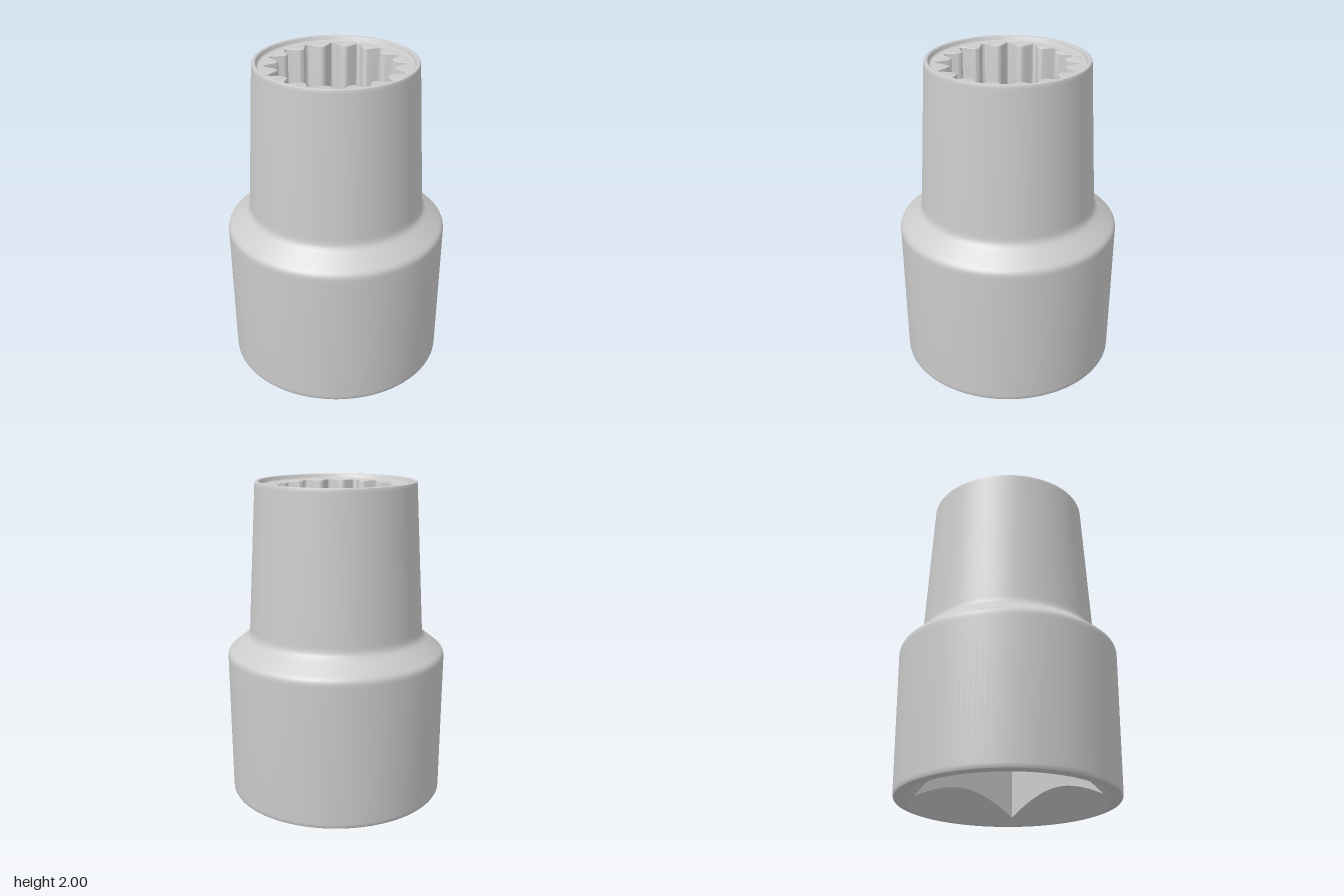
import * as THREE from 'three';
import { toCreasedNormals } from 'three/addons/utils/BufferGeometryUtils.js';

const DEG = Math.PI / 180;
const TEETH = 16;
const HALF_SQUARE = 0.4;

// Half a spline notch: [degrees from the tip, radius]
const NOTCH = [[0, 0.422], [1.2, 0.421], [2.1, 0.415], [2.6, 0.409], [6.9, 0.365],
  [7.7, 0.358], [8.6, 0.352], [9.8, 0.349], [11.25, 0.348]];

// Angles shared by all rings of the spline bore, with the notch radius at each
const splineRing = [];
for (let t = 0; t < TEETH; t++) {
  const tip = (t + 0.5) * 360 / TEETH;
  for (let i = NOTCH.length - 1; i > 0; i--) splineRing.push([(tip - NOTCH[i][0]) * DEG, NOTCH[i][1]]);
  for (let i = 0; i < NOTCH.length - 1; i++) splineRing.push([(tip + NOTCH[i][0]) * DEG, NOTCH[i][1]]);
}

// Even angles with the radius of the square drive at each
const squareRing = Array.from({ length: 128 }, (_, i) => {
  const a = i / 128 * Math.PI * 2;
  return [a, HALF_SQUARE / Math.max(Math.abs(Math.cos(a)), Math.abs(Math.sin(a)))];
});

// Skins a list of rings; each ring is [radius, y], either a number or a function of the shaped radius
function loft(name, ring, rows, material) {
  const n = ring.length, pos = [], index = [];
  const value = (v, s) => (typeof v === 'function' ? v(s) : v);
  for (const [r, y] of rows) {
    for (const [a, s] of ring) {
      const rad = value(r, s);
      pos.push(rad * Math.sin(a), value(y, s), rad * Math.cos(a));
    }
  }
  for (let j = 0; j < rows.length - 1; j++) {
    for (let i = 0; i < n; i++) {
      const k = (i + 1) % n;
      const a = j * n + i, b = j * n + k, c = b + n, d = a + n;
      index.push(a, b, c, a, c, d);
    }
  }
  const geometry = new THREE.BufferGeometry();
  geometry.setAttribute('position', new THREE.Float32BufferAttribute(pos, 3));
  geometry.setIndex(index);
  const mesh = new THREE.Mesh(toCreasedNormals(geometry, 0.6), material);
  mesh.name = name;
  return mesh;
}

export function createModel() {
  const group = new THREE.Group();
  group.name = 'splineSocket';
  const material = new THREE.MeshStandardMaterial({ color: 0xcccccc });

  // Stepped outer body, bottom to top, with rounded shoulder
  const body = [[0.62, 0], [0.668, 0], [0.676, 0.003], [0.681, 0.012], [0.682, 0.03],
    [0.69, 0.895], [0.69, 0.91], [0.688, 0.924], [0.682, 0.937], [0.672, 0.948], [0.66, 0.958],
    [0.585, 1.018], [0.57, 1.03], [0.558, 1.044], [0.551, 1.06], [0.548, 1.08], [0.547, 1.1],
    [0.498, 1.975], [0.497, 1.988], [0.494, 1.997], [0.488, 2],
    [0.478, 2], [0.473, 1.997], [0.468, 1.985], [0.464, 1.975], [0.456, 1.97]];
  group.add(loft('outerBody', squareRing, body, material));

  // Recessed end face and splined bore down to its floor
  const face = 1.97, splineFloor = 1.1, squareRoof = 0.85;
  group.add(loft('splineBore', splineRing, [
    [0.456, face],
    [s => s + 0.008, face],
    [s => s + 0.002, face - 0.003],
    [s => s, face - 0.01],
    [s => s, splineFloor],
    [0.197, splineFloor],
  ], material));

  // Through hole, square drive and the conical lead-in that cuts it
  group.add(loft('squareDrive', squareRing, [
    [0.197, splineFloor],
    [0.197, squareRoof],
    [s => s, squareRoof],
    [s => s, s => 0.72 * (0.62 - s)],
    [0.62, 0],
  ], material));

  return group;
}
